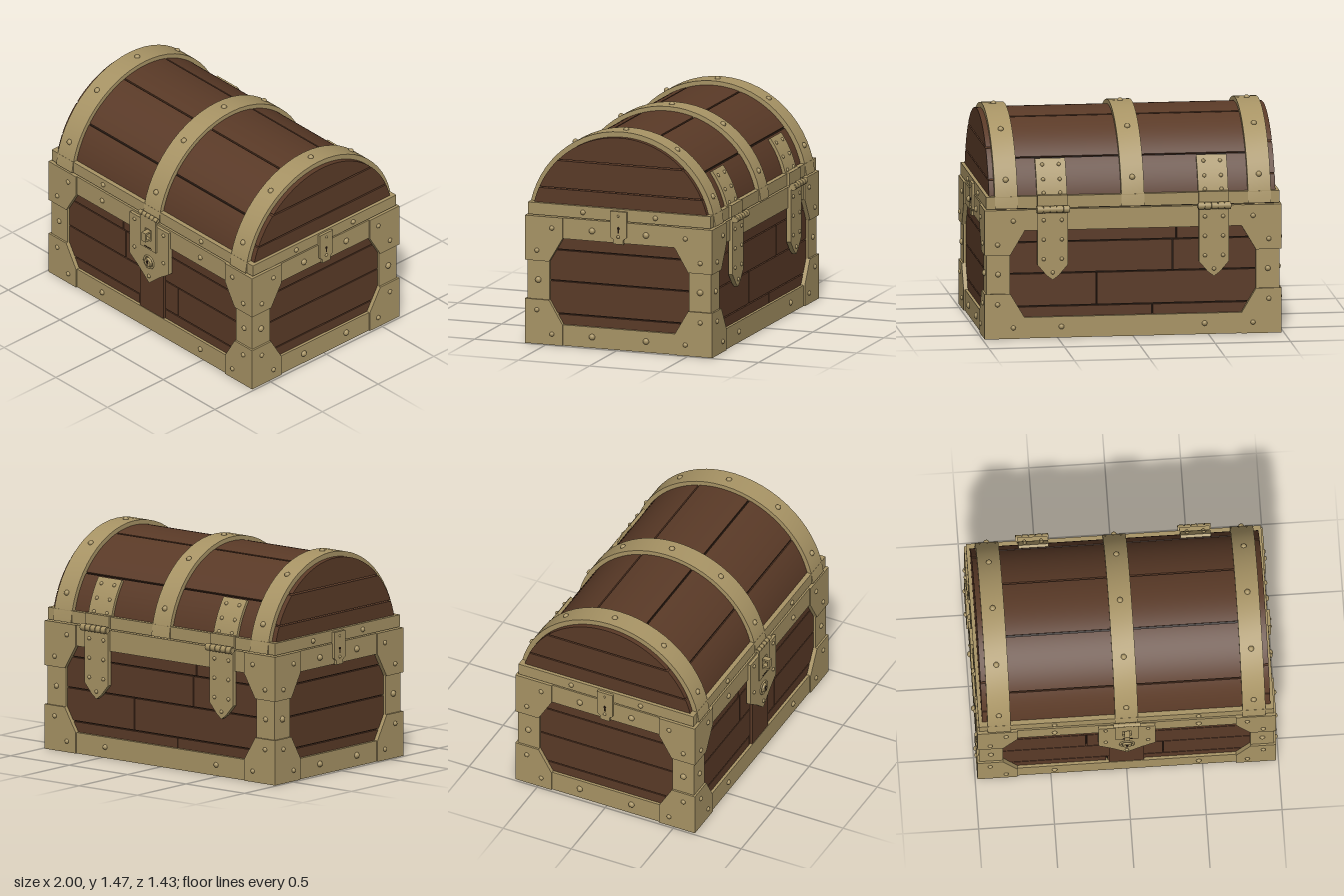
import * as THREE from 'three';
import { toCreasedNormals } from 'three/addons/utils/BufferGeometryUtils.js';

const color = (name, hex) => {
  const m = new THREE.MeshStandardMaterial({ color: hex });
  m.name = name;
  return m;
};
const wood = color('wood', 0x5a3a27);
const brass = color('brass', 0xa89465);
const dark = color('dark gap', 0x22160e);

const DEG = Math.PI / 180;
const ARC_Y = 0.797; // centre height of the lid arch
const boltGeo = new THREE.SphereGeometry(1, 14, 6, 0, Math.PI * 2, 0, Math.PI / 2).rotateX(Math.PI / 2);

function add(parent, name, geo, mat, x = 0, y = 0, z = 0) {
  const mesh = new THREE.Mesh(geo, mat);
  mesh.name = name;
  mesh.position.set(x, y, z);
  parent.add(mesh);
  return mesh;
}

// Box given by its limits
function slab(parent, name, mat, x0, x1, y0, y1, z0, z1) {
  return add(parent, name, new THREE.BoxGeometry(x1 - x0, y1 - y0, z1 - z0), mat,
    (x0 + x1) / 2, (y0 + y1) / 2, (z0 + z1) / 2);
}

function outline(points) {
  return new THREE.Shape(points.map(([x, y]) => new THREE.Vector2(x, y)));
}

// Flat plate, extruded outward from z0 to z1
function plate(parent, name, mat, points, z0, z1, holes = []) {
  const shape = outline(points);
  holes.forEach(h => shape.holes.push(outline(h)));
  const geo = new THREE.ExtrudeGeometry(shape, { depth: z1 - z0, bevelEnabled: false });
  return add(parent, name, geo, mat, 0, 0, z0);
}

function bolt(parent, x, y, z, r = 0.016) {
  add(parent, 'bolt', boltGeo, brass, x, y, z).scale.set(r, r, r * 0.9);
}

// Extrude a (z, y) profile along x
function alongX(parent, name, mat, points, x0, x1, holes = []) {
  const shape = outline(points);
  holes.forEach(h => shape.holes.push(outline(h)));
  const geo = new THREE.ExtrudeGeometry(shape, { depth: x1 - x0, bevelEnabled: false });
  geo.translate(0, 0, -(x1 - x0) / 2).rotateY(-Math.PI / 2);
  return add(parent, name, toCreasedNormals(geo, 0.4), mat, (x0 + x1) / 2);
}

// Arc points, angle measured from straight up toward the front
function arc(r, a0, a1, n = 28) {
  return Array.from({ length: n + 1 }, (_, i) => {
    const a = (a0 + (a1 - a0) * i / n) * DEG;
    return [r * Math.sin(a), ARC_Y + r * Math.cos(a)];
  });
}

function curvedSlab(parent, name, mat, r0, r1, a0, a1, x0, x1) {
  return alongX(parent, name, mat, [...arc(r1, a0, a1), ...arc(r0, a1, a0)], x0, x1);
}

// Bolt standing on the curved lid
function arcBolt(parent, x, r, deg, size = 0.017) {
  const pivot = new THREE.Group();
  pivot.name = 'lidBolt';
  pivot.position.set(x, ARC_Y, 0);
  pivot.rotation.x = (deg - 90) * DEG;
  bolt(pivot, 0, 0, r, size);
  parent.add(pivot);
}

function knuckles(parent, name, x, y, z, r, half, count) {
  const w = 2 * half / count;
  for (let i = 0; i < count; i++) {
    add(parent, name, new THREE.CylinderGeometry(r, r, w * 0.9, 14).rotateZ(Math.PI / 2), brass,
      x - half + w * (i + 0.5), y, z);
  }
  add(parent, name + 'Pin', new THREE.CylinderGeometry(r * 0.7, r * 0.7, half * 2, 10).rotateZ(Math.PI / 2), brass, x, y, z);
}

// One wall, built facing +z: planks, rails, posts, corner plates, bolts
function buildWall(name, W, D, splits, big) {
  const g = new THREE.Group();
  g.name = name;
  const rows = [0.015, 0.21, 0.43, 0.64, 0.85];
  for (let i = 0; i < 4; i++) {
    const cuts = [-W + 0.04, ...(splits ? [splits[i]] : []), W - 0.04];
    for (let j = 0; j + 1 < cuts.length; j++) {
      slab(g, 'plank', wood, cuts[j] + 0.004, cuts[j + 1] - 0.004, rows[i] + 0.004, rows[i + 1] - 0.004, D - 0.06, D - 0.028);
    }
  }
  for (const [y0, y1] of [[0, 0.14], [0.72, 0.86]]) {
    slab(g, 'rail', brass, -W + 0.013, W - 0.013, y0, y1, D - 0.045, D - 0.009);
  }
  for (const s of [-1, 1]) {
    slab(g, 'post', brass, Math.min(s * (W - 0.17), s * (W - 0.013)), Math.max(s * (W - 0.17), s * (W - 0.013)),
      0.13, 0.73, D - 0.045, D - 0.013);
    bolt(g, s * (W - 0.09), 0.43, D - 0.013, big ? 0.021 : 0.018);
    for (const top of [0, 1]) {
      const Y = y => top ? 0.86 - y : y;
      plate(g, 'cornerPlate', brass, [[W, 0], [W - 0.265, 0], [W - 0.265, 0.14], [W - 0.17, 0.3], [W, 0.3]]
        .map(([x, y]) => [s * x, Y(y)]), D - 0.04, D);
      bolt(g, s * (W - 0.19), Y(0.073), D);
      bolt(g, s * (W - 0.085), Y(0.23), D);
      bolt(g, s * (big ? 0.19 : 0.475), Y(0.073), D - 0.009, big ? 0.021 : 0.018);
    }
  }
  return g;
}

// Side lock plate across the seam
function buildSidePlate(wall, D) {
  plate(wall, 'sidePlate', brass, [[-0.057, 0.76], [-0.035, 0.745], [-0.035, 0.715], [0.035, 0.715], [0.035, 0.745],
    [0.057, 0.76], [0.057, 0.935], [-0.057, 0.935]], D - 0.02, D + 0.006);
  slab(wall, 'sideKeyhole', dark, -0.005, 0.005, 0.79, 0.822, D, D + 0.008);
  add(wall, 'sideKeyholeTop', new THREE.CylinderGeometry(0.009, 0.009, 0.008, 12).rotateX(Math.PI / 2), dark, 0, 0.822, D + 0.004);
  bolt(wall, 0, 0.765, D + 0.006, 0.011);
  bolt(wall, 0, 0.905, D + 0.006, 0.008);
}

function buildLock(g) {
  const D = 0.66;
  slab(g, 'centerPlank', wood, -0.115, 0.115, 0.14, 0.5, D - 0.03, D - 0.012);
  plate(g, 'lockPlate', brass, [[-0.187, 0.845], [-0.187, 0.525], [-0.1, 0.462], [0, 0.375], [0.1, 0.462],
    [0.187, 0.525], [0.187, 0.845]], D - 0.02, D + 0.012);
  for (const [x, y] of [[-0.14, 0.81], [0.14, 0.81], [-0.14, 0.595], [0.14, 0.595], [0, 0.43]]) bolt(g, x, y, D + 0.012, 0.013);
  // Key escutcheon
  add(g, 'lockRing', new THREE.TorusGeometry(0.044, 0.007, 8, 28), brass, 0, 0.54, D + 0.014);
  add(g, 'lockBoss', new THREE.CylinderGeometry(0.028, 0.032, 0.02, 20).rotateX(Math.PI / 2), brass, 0, 0.54, D + 0.02);
  add(g, 'keyholeTop', new THREE.CylinderGeometry(0.011, 0.011, 0.006, 12).rotateX(Math.PI / 2), dark, 0, 0.548, D + 0.029);
  slab(g, 'keyhole', dark, -0.005, 0.005, 0.52, 0.548, D + 0.026, D + 0.032);
  // Hasp strap, staple and hinge
  plate(g, 'hasp', brass, [[-0.075, 0.645], [0.075, 0.645], [0.075, 0.89], [-0.075, 0.89]], D + 0.012, D + 0.022,
    [[[-0.03, 0.715], [0.03, 0.715], [0.03, 0.8], [-0.03, 0.8]]]);
  slab(g, 'haspSlot', dark, -0.035, 0.035, 0.655, 0.661, D + 0.02, D + 0.024);
  alongX(g, 'staple', brass, [[D, 0.72], [D + 0.062, 0.72], [D + 0.062, 0.787], [D, 0.787]], -0.018, 0.018,
    [[[D + 0.015, 0.733], [D + 0.05, 0.733], [D + 0.05, 0.774], [D + 0.015, 0.774]]]);
  knuckles(g, 'haspKnuckle', 0, 0.897, D + 0.013, 0.015, 0.09, 5);
}

function buildHinge(g, x) {
  const back = new THREE.Group();
  back.name = 'hinge';
  back.rotation.y = Math.PI;
  back.position.x = x;
  plate(back, 'lowerLeaf', brass, [[-0.1, 0.86], [-0.1, 0.49], [-0.04, 0.42], [0, 0.39], [0.04, 0.42], [0.1, 0.49], [0.1, 0.86]], 0.64, 0.67);
  slab(back, 'upperLeafBase', brass, -0.1, 0.1, 0.87, 0.955, 0.62, 0.662);
  curvedSlab(back, 'upperLeaf', brass, 0.622, 0.65, 54, 80, -0.1, 0.1);
  for (const s of [-1, 1]) {
    for (const y of [0.53, 0.66, 0.79]) bolt(back, s * 0.06, y, 0.67, 0.013);
    for (const a of [58, 67, 75]) arcBolt(back, s * 0.055, 0.65, a, 0.013);
  }
  bolt(back, 0, 0.44, 0.67, 0.013);
  knuckles(back, 'hingeKnuckle', 0, 0.865, 0.688, 0.024, 0.11, 5);
  g.add(back);
}

function buildLid() {
  const lid = new THREE.Group();
  lid.name = 'lid';
  // Base frame
  for (const s of [-1, 1]) {
    const z = s * 0.625, x = s * 0.953;
    slab(lid, 'lidRail', brass, -0.972, 0.972, 0.867, 0.948, z - 0.018, z + 0.018);
    slab(lid, 'lidSideRail', brass, x - 0.02, x + 0.02, 0.867, 0.948, -0.643, 0.643);
  }
  for (const k of [0, 1, 2, 3]) {
    const pivot = new THREE.Group();
    pivot.name = 'lidRailBolts';
    pivot.rotation.y = k * Math.PI / 2;
    for (const s of [-1, 1]) bolt(pivot, s * (k % 2 ? 0.255 : 0.475), 0.907, k % 2 ? 0.973 : 0.643, 0.017);
    lid.add(pivot);
  }
  // Dark core showing in the gaps
  alongX(lid, 'lidCore', dark, arc(0.612, -83, 83, 48), -0.905, 0.905);
  // Curved planks
  [-84, -52.3, -17, 17, 52.3].forEach((a, i, list) => {
    const end = i < 4 ? list[i + 1] : 84;
    curvedSlab(lid, 'lidPlank', wood, 0.6, 0.63, a + 0.5, end - 0.5, -0.91, 0.91);
  });
  // End planks, each cut to the arch
  for (const [y0, y1] of [[0.9, 1.046], [1.055, 1.237], [1.247, 1.422]]) {
    const r = 0.6255;
    const lo = Math.acos((y0 - ARC_Y) / r) / DEG;
    const hi = Math.acos(Math.min(1, (y1 - ARC_Y) / r)) / DEG;
    for (const s of [-1, 1]) {
      alongX(lid, 'endPlank', wood, [...arc(r, lo, hi), ...arc(r, -hi, -lo)], s * 0.925 - 0.025, s * 0.925 + 0.025);
    }
  }
  // Metal bands
  for (const x of [-0.84, 0, 0.84]) {
    curvedSlab(lid, 'lidBand', brass, 0.625, 0.66, -83.7, 83.7, x - 0.076, x + 0.076);
    for (const a of [-67, -33, 0, 33, 67]) arcBolt(lid, x, 0.66, a, 0.019);
  }
  return lid;
}

export function createModel() {
  const chest = new THREE.Group();
  chest.name = 'chest';
  chest.position.z = -0.008;

  slab(chest, 'bodyCore', dark, -0.94, 0.94, 0.03, 0.88, -0.615, 0.615);
  slab(chest, 'floor', wood, -0.945, 0.945, 0.008, 0.03, -0.62, 0.62);

  const splits = [-0.13, 0.24, -0.265, -0.29];
  ['front', 'left', 'back', 'right'].forEach((name, k) => {
    const side = k % 2 === 1;
    const wall = buildWall(name + 'Wall', side ? 0.66 : 0.985, side ? 0.985 : 0.66,
      side ? null : splits.map(x => k ? -x : x), side);
    wall.rotation.y = k * Math.PI / 2;
    if (side) buildSidePlate(wall, 0.985);
    chest.add(wall);
  });

  chest.add(buildLid());
  buildLock(chest);
  for (const x of [-0.535, 0.535]) buildHinge(chest, x);

  const model = new THREE.Group();
  model.name = 'treasureChest';
  model.add(chest);
  return model;
}
